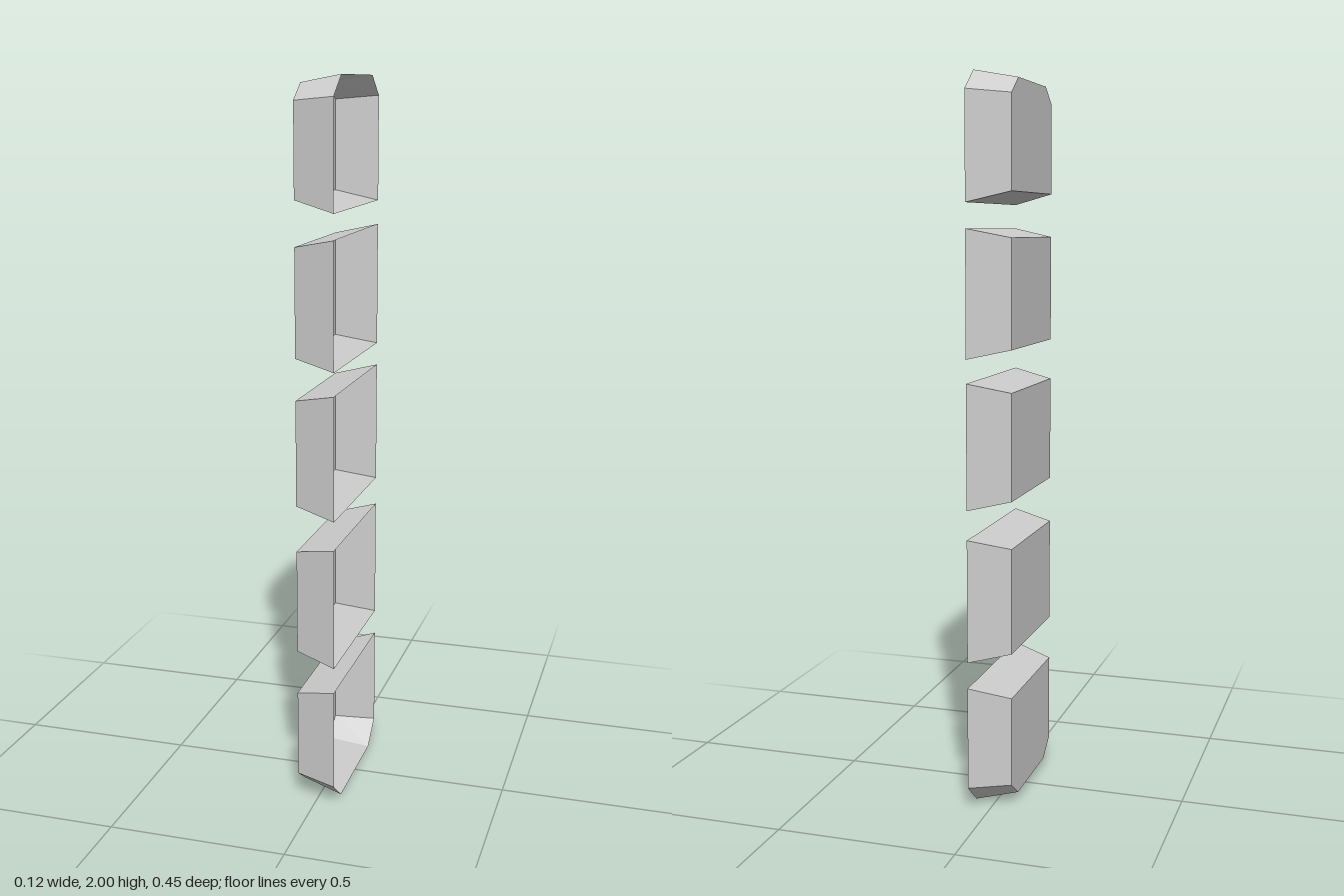
import * as THREE from 'three';

const DEPTH = 0.058; // half depth along x

// Outline in (z, y); optional cut corners at the top or bottom end
function outline(halfW, y0, y1, cutZ, cutTop, cutBottom) {
  const right = [];
  if (cutBottom) right.push([cutZ, y0], [halfW, cutBottom]);
  else right.push([halfW, y0]);
  if (cutTop) right.push([halfW, cutTop], [cutZ, y1]);
  else right.push([halfW, y1]);
  const left = right.map(([z, y]) => [-z, y]).reverse();
  return [...right, ...left];
}

// Thin open tray: a flat floor at -x joined to a wider rim at +x
function tray(floor, rim) {
  const pos = [];
  const put = (x, [z, y]) => pos.push(x, y, z);
  const n = floor.length;
  for (let i = 0; i < n; i++) {
    const j = (i + 1) % n;
    // sloped wall
    put(-DEPTH, floor[i]); put(DEPTH, rim[j]); put(DEPTH, rim[i]);
    put(-DEPTH, floor[i]); put(-DEPTH, floor[j]); put(DEPTH, rim[j]);
    // floor fan
    if (i > 0 && i < n - 1) {
      put(-DEPTH, floor[0]); put(-DEPTH, floor[j]); put(-DEPTH, floor[i]);
    }
  }
  // keep the faces pointing outwards
  for (let t = 0; t < pos.length; t += 9) {
    for (let k = 0; k < 3; k++) {
      [pos[t + 3 + k], pos[t + 6 + k]] = [pos[t + 6 + k], pos[t + 3 + k]];
    }
  }
  const geometry = new THREE.BufferGeometry();
  geometry.setAttribute('position', new THREE.Float32BufferAttribute(pos, 3));
  geometry.computeVertexNormals();
  return geometry;
}

export function createModel() {
  const group = new THREE.Group();
  group.name = 'trayColumn';
  const material = new THREE.MeshStandardMaterial({
    color: 0xcccccc, flatShading: true, side: THREE.DoubleSide,
  });

  // rim and floor heights, with the cut corner heights of the end trays
  const trays = [
    { name: 'bottomTray', rim: [0, 0.347], floor: [0.025, 0.319], cutBottom: [0.06, 0.07] },
    { name: 'lowerTray', rim: [0.42, 0.762], floor: [0.445, 0.738] },
    { name: 'middleTray', rim: [0.843, 1.186], floor: [0.868, 1.161] },
    { name: 'upperTray', rim: [1.25, 1.592], floor: [1.275, 1.568] },
    { name: 'topTray', rim: [1.659, 2], floor: [1.688, 1.98], cutTop: [1.946, 1.936] },
  ];
  for (const t of trays) {
    const [topRim, topFloor] = t.cutTop ?? [];
    const [bottomRim, bottomFloor] = t.cutBottom ?? [];
    const rim = outline(0.225, ...t.rim, 0.153, topRim, bottomRim);
    const floor = outline(0.191, ...t.floor, 0.13, topFloor, bottomFloor);
    const mesh = new THREE.Mesh(tray(floor, rim), material);
    mesh.name = t.name;
    group.add(mesh);
  }
  return group;
}
